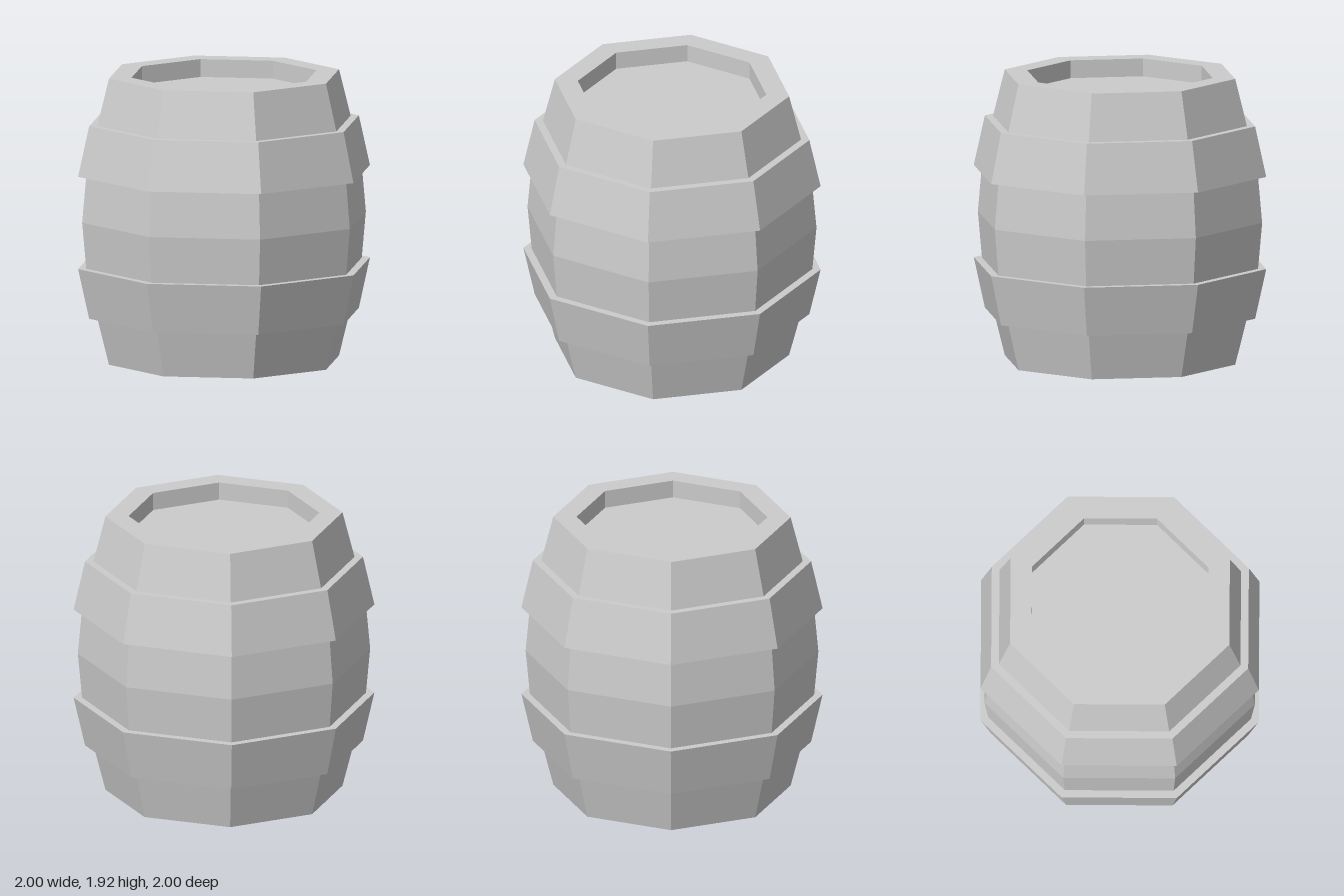
import * as THREE from 'three';

const SIDES = 8;
const material = new THREE.MeshStandardMaterial({ color: 0xcccccc, flatShading: true });

// Eight-sided turned part from [radius, height] pairs, outer side listed upwards
function turned(name, profile) {
  const points = profile.map(([r, y]) => new THREE.Vector2(r, y));
  const mesh = new THREE.Mesh(new THREE.LatheGeometry(points, SIDES), material);
  mesh.name = name;
  return mesh;
}

export function createModel() {
  const barrel = new THREE.Group();
  barrel.name = 'barrel';

  const height = 1.925, middle = height / 2;
  const lidY = height - 0.12, lidRadius = 0.634;

  // Bulging staves with a flat base and a raised rim around the lid
  barrel.add(turned('staves', [
    [0, 0], [0.788, 0], [0.868, 0.315], [0.944, 0.652], [0.972, middle],
    [0.944, height - 0.652], [0.868, height - 0.315], [0.788, height],
    [lidRadius, height], [lidRadius, lidY],
  ]));

  // Sunken lid
  barrel.add(turned('lid', [[lidRadius, lidY], [0, lidY]]));

  // Two hoops, mirrored about the middle, wider towards the bulge
  const hoop = [[0.86, 0.315], [0.924, 0.315], [1, 0.652], [0.93, 0.652]];
  barrel.add(turned('lowerHoop', hoop));
  barrel.add(turned('upperHoop', hoop.map(([r, y]) => [r, height - y]).reverse()));

  return barrel;
}
